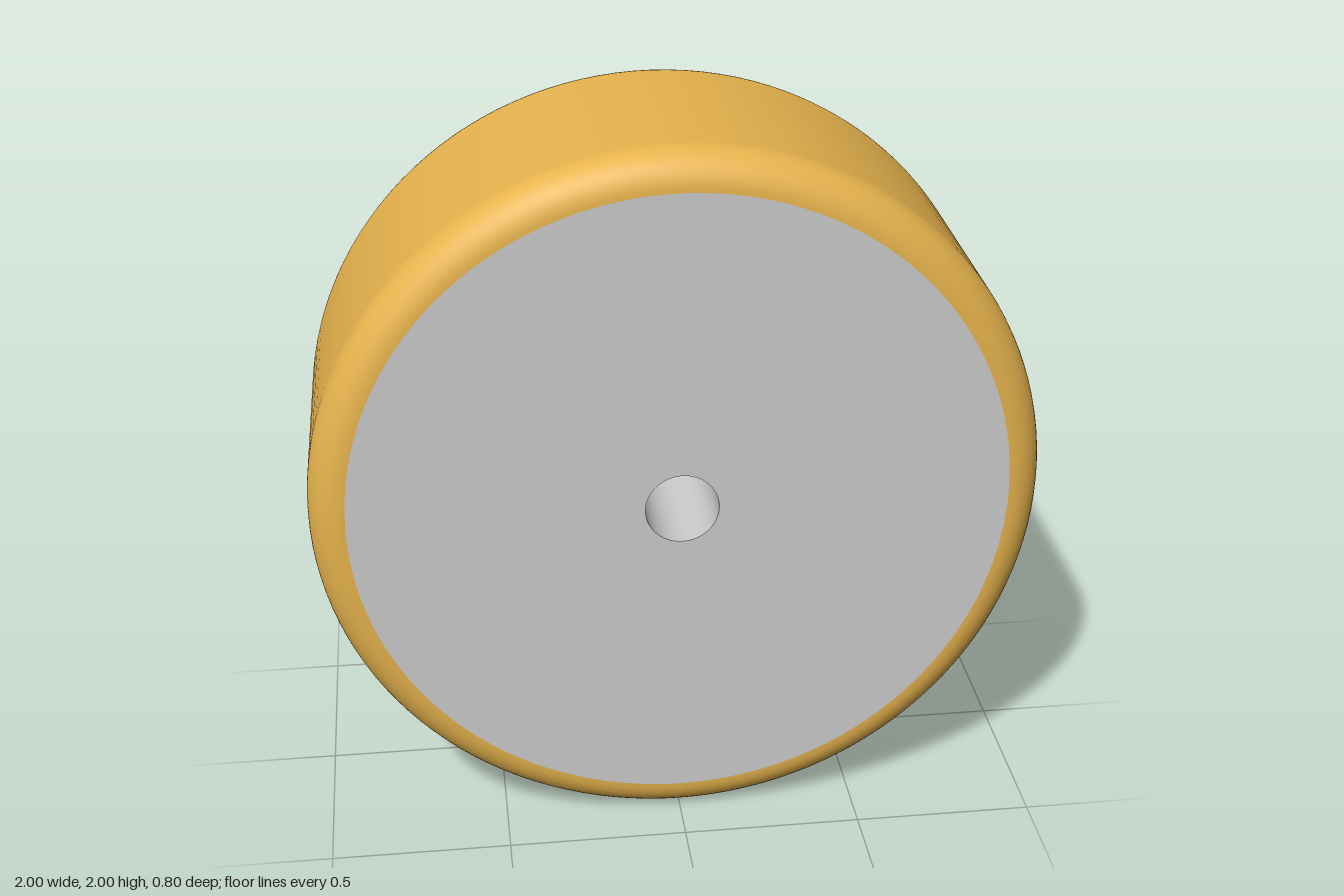
import * as THREE from 'three';
import { mergeGeometries } from 'three/addons/utils/BufferGeometryUtils.js';

const SEGMENTS = 128;
const HALF_WIDTH = 0.4, RADIUS = 1, FILLET = 0.1, BORE = 0.1;

// Revolve a (radius, depth) profile around the z axis
function revolve(points) {
  const profile = points.map(([r, d]) => new THREE.Vector2(r, d));
  return new THREE.LatheGeometry(profile, SEGMENTS).rotateX(Math.PI / 2);
}

export function createModel() {
  const wheel = new THREE.Group();
  wheel.name = 'wheel';
  wheel.position.y = RADIUS;
  const seat = RADIUS - FILLET;

  // Tread with rounded shoulders
  const profile = [];
  const steps = 12;
  for (const side of [-1, 1]) {
    for (let i = 0; i <= steps; i++) {
      const a = (Math.PI / 2) * (side < 0 ? i / steps - 1 : i / steps);
      profile.push([
        seat + FILLET * Math.cos(a),
        side * (HALF_WIDTH - FILLET) + FILLET * Math.sin(a),
      ]);
    }
  }
  const tread = new THREE.Mesh(revolve(profile), new THREE.MeshStandardMaterial({ color: 0xe6b34d }));
  tread.name = 'tread';

  // Hub: two flat faces and the axle bore, kept separate for sharp edges
  const hub = new THREE.Mesh(
    mergeGeometries([
      revolve([[seat, HALF_WIDTH], [BORE, HALF_WIDTH]]),
      revolve([[BORE, HALF_WIDTH], [BORE, -HALF_WIDTH]]),
      revolve([[BORE, -HALF_WIDTH], [seat, -HALF_WIDTH]]),
    ]),
    new THREE.MeshStandardMaterial({ color: 0xcccccc })
  );
  hub.name = 'hub';

  wheel.add(tread, hub);
  const model = new THREE.Group();
  model.add(wheel);
  return model;
}
